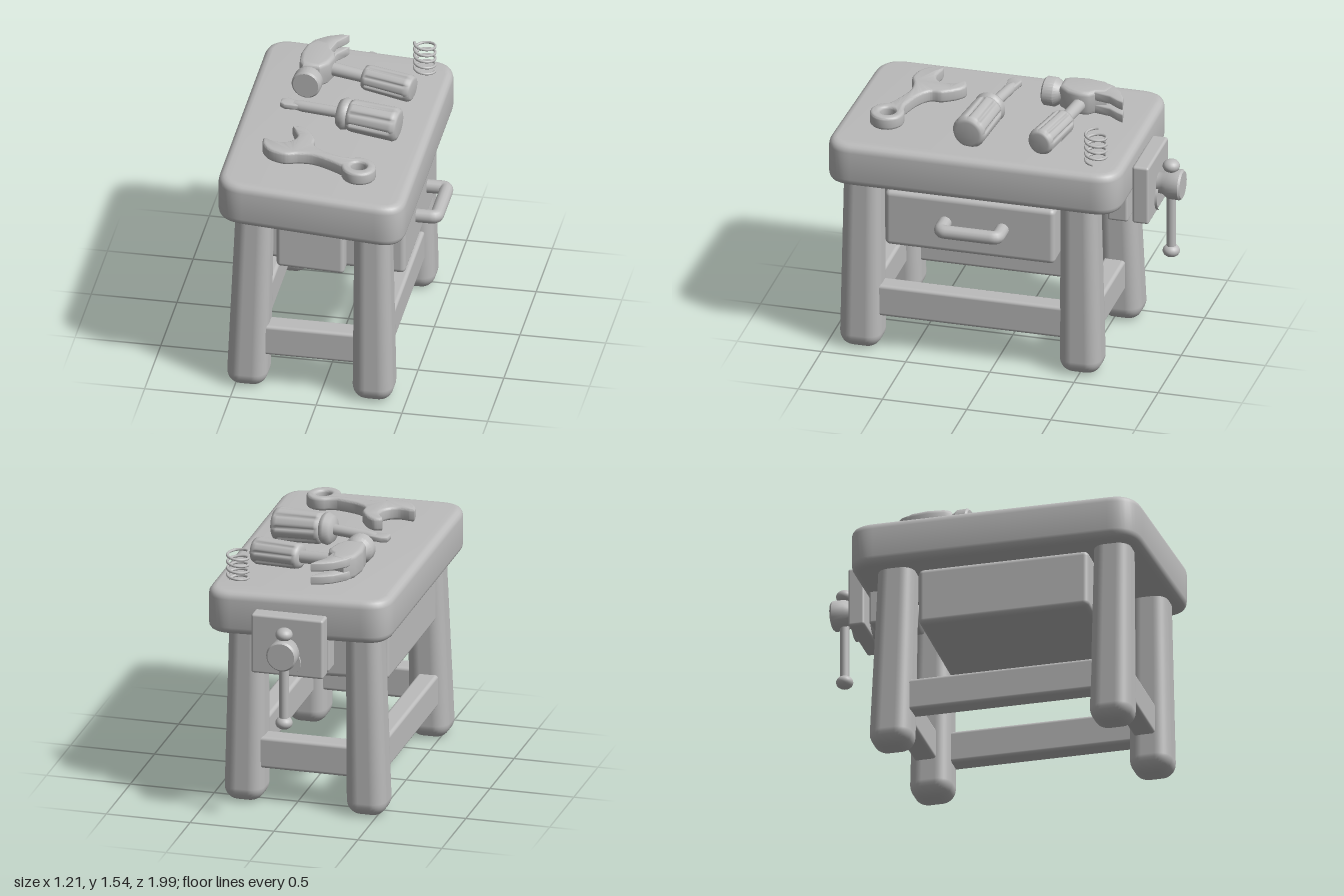
import * as THREE from 'three';
import { toCreasedNormals } from 'three/addons/utils/BufferGeometryUtils.js';
import { RoundedBoxGeometry } from 'three/addons/geometries/RoundedBoxGeometry.js';

const V = (x, y, z) => new THREE.Vector3(x, y, z);
const TILT = -0.037; // the bench leans down slightly towards +x

export function createModel() {
  const model = new THREE.Group();
  model.name = 'toolBench';
  const grey = new THREE.MeshStandardMaterial({ color: 0xbcbcbc });
  grey.name = 'plain grey';

  const add = (name, geo, parent = model) => {
    const mesh = new THREE.Mesh(geo, grey);
    mesh.name = name;
    parent.add(mesh);
    return mesh;
  };
  const group = (name) => {
    const g = new THREE.Group();
    g.name = name;
    model.add(g);
    return g;
  };
  // Move every vertex by a rule
  const warp = (geo, rule) => {
    const p = geo.attributes.position, v = V(0, 0, 0);
    for (let i = 0; i < p.count; i++) {
      v.fromBufferAttribute(p, i);
      rule(v);
      p.setXYZ(i, v.x, v.y, v.z);
    }
    return geo;
  };
  const lean = (geo) => warp(geo, (v) => { v.y += TILT * (v.x + 0.05); });
  // Rounded box given by its limits
  const box = (x0, x1, y0, y1, z0, z1, r) =>
    new RoundedBoxGeometry(x1 - x0, y1 - y0, z1 - z0, 4, r)
      .translate((x0 + x1) / 2, (y0 + y1) / 2, (z0 + z1) / 2);
  // Plate with an outline in x, z, lying between heights y0 and y1
  const plate = (shape, y0, y1, bevel) => {
    const geo = new THREE.ExtrudeGeometry(shape, {
      depth: y1 - y0 - 2 * bevel, bevelThickness: bevel, bevelSize: bevel,
      bevelOffset: -bevel, bevelSegments: 4, curveSegments: 10,
    });
    geo.rotateX(-Math.PI / 2).translate(0, y0 + bevel, 0);
    return lean(toCreasedNormals(geo, 0.7));
  };
  const outline = (pts) => new THREE.Shape(pts.map(([x, z]) => new THREE.Vector2(x, -z)));
  // Lathe profile of [radius, distance] turned to run from a towards b
  const turned = (profile, a, b, sides = 28) => {
    const geo = new THREE.LatheGeometry(profile.map((p) => new THREE.Vector2(...p)), sides);
    const q = new THREE.Quaternion().setFromUnitVectors(V(0, 1, 0), b.clone().sub(a).normalize());
    return geo.applyQuaternion(q).translate(a.x, a.y, a.z);
  };

  // Table top with rounded corners
  const corners = [[-0.605, 0.94], [0.495, 0.995], [0.495, -0.752], [-0.605, -0.77]]
    .map(([x, z]) => new THREE.Vector2(x, -z));
  const top = new THREE.Shape();
  corners.forEach((c, i) => {
    const toward = (o) => c.clone().add(o.clone().sub(c).setLength(0.16));
    const a = toward(corners[(i + 3) % 4]), b = toward(corners[(i + 1) % 4]);
    if (i) top.lineTo(a.x, a.y); else top.moveTo(a.x, a.y);
    top.quadraticCurveTo(c.x, c.y, b.x, b.y);
  });
  top.closePath();
  add('tableTop', plate(top, 1.1, 1.36, 0.045));

  // Legs: name, foot x, foot z, head x, head z
  [['frontRight', -0.437, 0.77, -0.4, 0.77], ['frontLeft', 0.305, 0.807, 0.297, 0.8],
    ['backRight', -0.437, -0.54, -0.405, -0.51], ['backLeft', 0.305, -0.5, 0.295, -0.485],
  ].forEach(([name, fx, fz, hx, hz]) => {
    const geo = warp(box(-0.12, 0.12, 0.01, 1.2, -0.125, 0.125, 0.085), (v) => {
      const t = v.y / 1.15, s = 1 - 0.13 * t;
      v.x = v.x * s + fx + (hx - fx) * t;
      v.z = v.z * s + fz + (hz - fz) * t;
    });
    add(name + 'Leg', geo);
  });

  // Stretchers between the legs
  [[0.25, 0.37], [-0.5, -0.38]].forEach(([a, b]) =>
    add('sideStretcher', box(a, b, 0.215, 0.41, -0.5, 0.8, 0.02)));
  [[0.72, 0.85], [-0.58, -0.45]].forEach(([a, b]) =>
    add('crossStretcher', box(-0.43, 0.3, 0.22, 0.41, a, b, 0.02)));

  // Cabinet, front panel and drawer pull
  add('cabinet', lean(box(-0.5, 0.45, 0.735, 1.08, -0.37, 0.64, 0.03)));
  add('frontPanel', lean(box(-0.285, 0.11, 0.735, 1.085, 0.5, 0.73, 0.025)));
  const pull = new THREE.CurvePath();
  const pts = [V(0.42, 0.905, 0.28), V(0.53, 0.905, 0.28), V(0.565, 0.905, 0.245),
    V(0.565, 0.905, -0.025), V(0.53, 0.905, -0.06), V(0.42, 0.905, -0.06)];
  pull.add(new THREE.LineCurve3(pts[0], pts[1]));
  pull.add(new THREE.QuadraticBezierCurve3(pts[1], V(0.565, 0.905, 0.28), pts[2]));
  pull.add(new THREE.LineCurve3(pts[2], pts[3]));
  pull.add(new THREE.QuadraticBezierCurve3(pts[3], V(0.565, 0.905, -0.06), pts[4]));
  pull.add(new THREE.LineCurve3(pts[4], pts[5]));
  add('drawerPull', new THREE.TubeGeometry(pull, 60, 0.04, 14));

  // Vise on the back
  const vise = group('vise');
  add('outerJaw', box(-0.25, 0.18, 0.91, 1.27, -0.855, -0.757, 0.015), vise);
  add('innerJaw', box(-0.25, 0.18, 0.91, 1.12, -0.73, -0.61, 0.015), vise);
  add('viseScrew', turned([[0, 0], [0.06, 0], [0.085, 0.03], [0.085, 0.42]],
    V(-0.035, 1.0, -0.45), V(-0.035, 1.0, -1)), vise);
  add('viseHub', toCreasedNormals(turned([[0.06, 0], [0.065, 0.04], [0.088, 0.07], [0.09, 0.14],
    [0.08, 0.152], [0, 0.152]], V(-0.04, 1.08, -0.848), V(-0.04, 1.08, -1)), 0.7), vise);
  add('viseBar', new THREE.CylinderGeometry(0.028, 0.028, 0.5, 16).translate(-0.04, 0.92, -0.93), vise);
  [0.655, 1.195].forEach((y) => add('barKnob',
    new THREE.SphereGeometry(0.05, 20, 14).scale(1, 0.78, 1).translate(-0.04, y, -0.93), vise));

  // Grip with flutes cut along its length
  const grip = (r, len, a, b) => {
    const prof = [[0, 0], [0.6, 0], [0.85, 0.03], [0.92, 0.08], [0.95, 0.12], [0.97, 0.5], [1, 0.86],
      [0.99, 0.92], [0.88, 0.98], [0.7, 1], [0, 1]].map(([p, t]) => [p * r, t * len]);
    const geo = new THREE.LatheGeometry(prof.map((p) => new THREE.Vector2(...p)), 64);
    warp(geo, (v) => {
      const t = v.y / len, ang = Math.atan2(v.z, v.x);
      if (t < 0.1 || t > 0.9) return;
      const k = 1 - 0.16 * Math.max(0, Math.cos(ang * 8)) ** 4;
      v.x *= k;
      v.z *= k;
    });
    geo.computeVertexNormals();
    const q = new THREE.Quaternion().setFromUnitVectors(V(0, 1, 0), b.clone().sub(a).normalize());
    return geo.applyQuaternion(q).translate(a.x, a.y, a.z);
  };

  // Hammer
  const hammer = group('hammer');
  const h0 = V(-0.22, 1.455, -0.36), h1 = V(0.03, 1.44, -0.315), h2 = V(0.335, 1.425, -0.245);
  add('hammerShaft', turned([[0.04, 0], [0.036, 0.3]], h0, h1), hammer);
  add('hammerGrip', grip(0.08, 0.31, h1, h2), hammer);
  add('hammerHead', plate(outline([[-0.33, -0.46], [-0.345, -0.36], [-0.335, -0.26], [-0.31, -0.22],
    [-0.21, -0.22], [-0.165, -0.28], [-0.145, -0.36], [-0.155, -0.41], [-0.185, -0.44],
    [-0.2, -0.5], [-0.28, -0.53]]), 1.385, 1.53, 0.025), hammer);
  [[1.39, 1.445], [1.47, 1.525]].forEach(([y0, y1]) => add('hammerClaw', plate(outline([
    [-0.33, -0.44], [-0.295, -0.52], [-0.23, -0.58], [-0.17, -0.61], [-0.11, -0.622],
    [-0.125, -0.585], [-0.165, -0.53], [-0.185, -0.43], [-0.24, -0.42]]), y0, y1, 0.01), hammer));
  add('hammerFace', toCreasedNormals(turned([[0.07, 0], [0.06, 0.05], [0.065, 0.07], [0.085, 0.1],
    [0.085, 0.16], [0.075, 0.17], [0, 0.17]], V(-0.26, 1.46, -0.285), V(-0.272, 1.46, -0.12)), 0.6), hammer);

  // Screwdriver
  const driver = group('screwdriver');
  const s0 = V(-0.3, 1.445, 0.085), s1 = V(-0.01, 1.45, 0.135), s2 = V(0.33, 1.43, 0.18);
  add('driverShaft', turned([[0.025, 0], [0.032, 0.05], [0.032, 0.3]], s0, s1), driver);
  add('driverBlade', plate(outline([[-0.375, 0.05], [-0.34, 0.04], [-0.27, 0.06], [-0.23, 0.078],
    [-0.24, 0.115], [-0.29, 0.12], [-0.35, 0.125], [-0.38, 0.105]]), 1.42, 1.455, 0.01), driver);
  add('driverCollar', turned([[0.03, -0.03], [0.075, -0.02], [0.095, 0.01], [0.09, 0.035],
    [0.065, 0.06], [0.06, 0.09]], s1, s2), driver);
  add('driverGrip', grip(0.1, 0.31, s1.clone().lerp(s2, 0.1), s2), driver);

  // Wrench with open jaw and ring end
  const wrench = new THREE.Shape();
  wrench.moveTo(-0.26, -0.345);
  wrench.splineThru([[-0.21, 0.335], [-0.16, 0.37], [-0.11, 0.45], [-0.1, 0.52], [-0.03, 0.575],
    [0.09, 0.615]].map(([x, z]) => new THREE.Vector2(x, -z)));
  wrench.absarc(0.19, -0.695, 0.1, Math.PI * 0.68, -Math.PI * 0.95, true);
  wrench.splineThru([[0.0, 0.665], [-0.09, 0.635], [-0.17, 0.64], [-0.25, 0.665], [-0.34, 0.64],
    [-0.39, 0.58], [-0.4, 0.52]].map(([x, z]) => new THREE.Vector2(x, -z)));
  wrench.lineTo(-0.37, -0.52);
  wrench.splineThru([[-0.3, 0.535], [-0.24, 0.51], [-0.215, 0.45], [-0.24, 0.39]]
    .map(([x, z]) => new THREE.Vector2(x, -z)));
  wrench.closePath();
  const ring = new THREE.Path();
  ring.absarc(0.19, -0.692, 0.045, 0, Math.PI * 2, false);
  wrench.holes.push(ring);
  add('wrench', plate(wrench, 1.375, 1.455, 0.018));

  // Coil spring
  const coil = [];
  for (let i = 0; i <= 80; i++) {
    const a = (i / 80) * Math.PI * 9;
    coil.push(V(0.335 + 0.06 * Math.cos(a), 1.36 + 0.18 * (i / 80), -0.585 + 0.06 * Math.sin(a)));
  }
  add('spring', new THREE.TubeGeometry(new THREE.CatmullRomCurve3(coil), 240, 0.008, 8));

  return model;
}
